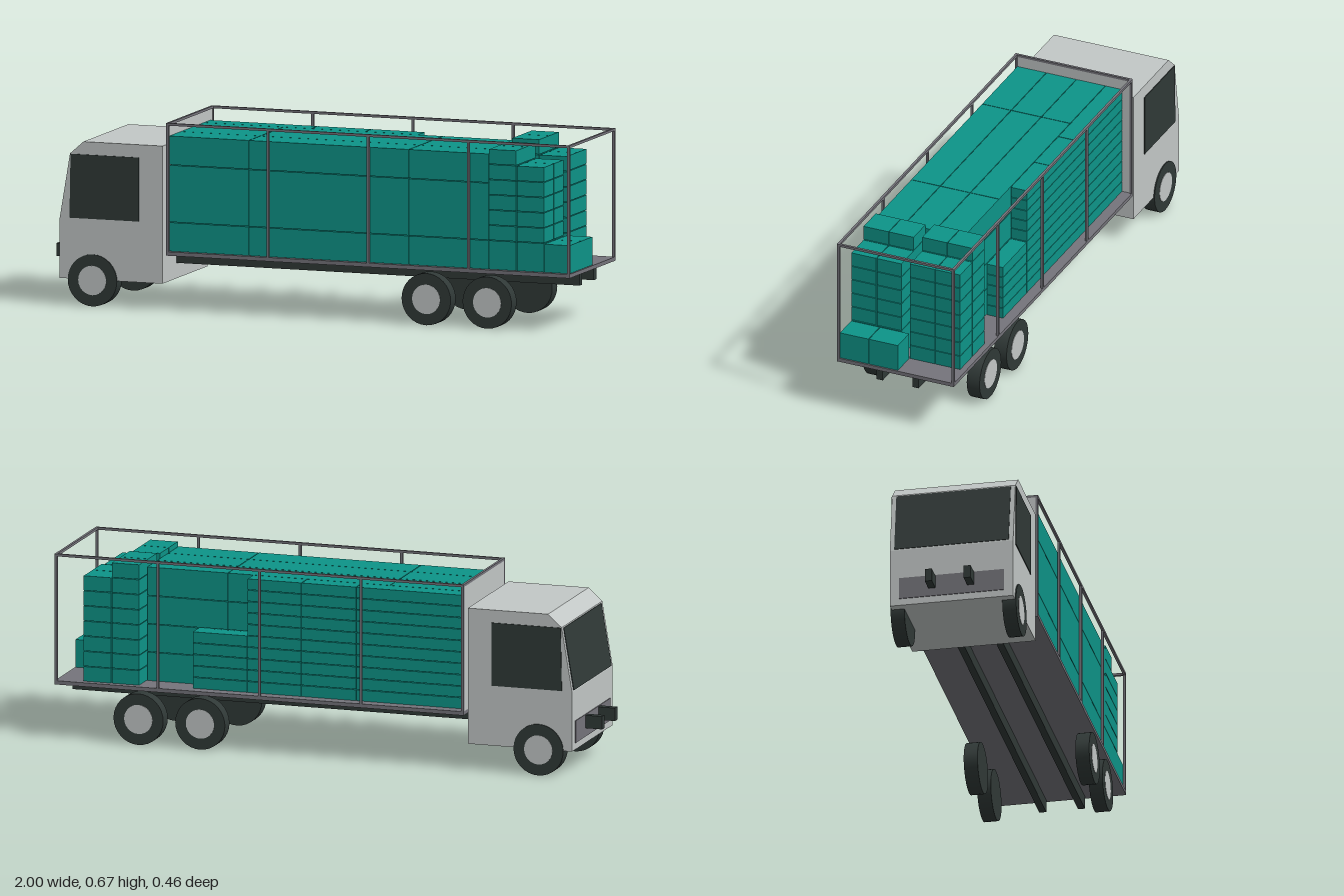
import * as THREE from 'three';

const material = (name, color, side = THREE.FrontSide) => {
  const m = new THREE.MeshStandardMaterial({ color, side });
  m.name = name;
  return m;
};

export function createModel() {
  const truck = new THREE.Group();
  truck.name = 'cargoTruck';
  const paint = material('light grey paint', 0xc2c7c6);
  const dark = material('dark rubber and glass', 0x303937);
  const steel = material('frame grey', 0x75747b);
  const teal = material('teal cargo', 0x0d9488);

  // Box given by its lower and upper limits on each axis
  const box = (name, mat, [x0, x1], [y0, y1], [z0, z1], parent = truck) => {
    const mesh = new THREE.Mesh(new THREE.BoxGeometry(x1 - x0, y1 - y0, z1 - z0), mat);
    mesh.position.set((x0 + x1) / 2, (y0 + y1) / 2, (z0 + z1) / 2);
    mesh.name = name;
    parent.add(mesh);
    return mesh;
  };

  // Prism extruded across the truck from a side profile
  const prism = (name, mat, points, z0, z1) => {
    const shape = new THREE.Shape(points.map(p => new THREE.Vector2(...p)));
    const geo = new THREE.ExtrudeGeometry(shape, { depth: z1 - z0, bevelEnabled: false });
    geo.translate(0, 0, z0);
    const mesh = new THREE.Mesh(geo, mat);
    mesh.name = name;
    truck.add(mesh);
  };

  // Cab with raked windscreen and chamfered roof edge
  prism('cab', paint, [[-0.545, 0.095], [-0.545, 0.588], [-0.845, 0.588],
    [-0.896, 0.543], [-0.935, 0.31], [-0.935, 0.095]], -0.223, 0.223);
  prism('windscreen', dark, [[-0.93, 0.315], [-0.893, 0.538], [-0.899, 0.539], [-0.937, 0.315]], -0.207, 0.207);
  box('grille', steel, [-0.938, -0.934], [0.12, 0.2], [-0.19, 0.19]);
  for (const s of [1, -1]) {
    prism('sideWindow', dark, [[-0.635, 0.313], [-0.635, 0.542], [-0.893, 0.542], [-0.897, 0.313]],
      s * 0.224 - 0.002, s * 0.224 + 0.002);
    // Chassis rails
    box('chassisRail', dark, [-1, 0.983], [0.15, 0.197], [s * 0.07 - 0.0125, s * 0.07 + 0.0125]);
  }

  // Wheels with light hubs facing outwards
  const tyreGeo = new THREE.CylinderGeometry(0.093, 0.093, 0.05, 32).rotateX(Math.PI / 2);
  const hubGeo = new THREE.CylinderGeometry(0.053, 0.053, 0.004, 24).rotateX(Math.PI / 2);
  for (const x of [-0.81, 0.456, 0.687]) for (const s of [1, -1]) {
    const wheel = new THREE.Group();
    wheel.name = 'wheel';
    const tyre = new THREE.Mesh(tyreGeo, dark);
    tyre.name = 'tyre';
    const hub = new THREE.Mesh(hubGeo, paint);
    hub.name = 'hub';
    hub.position.z = s * 0.0245;
    wheel.add(tyre, hub);
    wheel.position.set(x, 0.093, s * 0.202);
    truck.add(wheel);
  }

  // Load bed, headboard and cage
  const T = 0.009, TOP = 0.672;
  box('bedFloor', steel, [-0.53, 1], [0.197, 0.211], [-0.227, 0.228]);
  box('headboard', paint, [-0.53, -0.523], [0.211, TOP - T], [-0.218, 0.219]);
  for (const z of [-0.227, 0.228 - T]) {
    box('topRail', steel, [-0.53, 1], [TOP - T, TOP], [z, z + T]);
    for (let i = 0; i < 5; i++) {
      const x = -0.53 + i * (1.53 - T) / 4;
      box('cagePost', steel, [x, x + T], [0.211, TOP - T], [z, z + T]);
    }
  }
  for (const x of [-0.53, 1 - T]) {
    box('topCrossbar', steel, [x, x + T], [TOP - T, TOP], [-0.227 + T, 0.228 - T]);
  }

  // Cargo: every block is a grid of cartons between the given cuts
  const G = 0.0012;
  const cargo = (name, xs, ys, zs) => {
    const group = new THREE.Group();
    group.name = name;
    for (let i = 1; i < xs.length; i++)
      for (let j = 1; j < ys.length; j++)
        for (let k = 1; k < zs.length; k++)
          box('carton', teal, [xs[i - 1] + G, xs[i] - G], [ys[j - 1] + G, ys[j] - G],
            [zs[k - 1] + G, zs[k] - G], group);
    truck.add(group);
  };
  const steps = (start, size, count) => Array.from({ length: count + 1 }, (_, i) => start + i * size);
  const F = 0.211;

  // Long rows behind the headboard
  const rowX = [-0.522, -0.22, 0.387, 0.69];
  cargo('outerRow', rowX, [F, 0.316, 0.521, 0.626], [0.105, 0.219]);
  cargo('middleRows', rowX, [F, 0.316, 0.418, 0.521, 0.626], [-0.125, -0.012, 0.105]);

  // Thin cartons along the right edge, lower at the end
  cargo('thinCartons', [-0.522, -0.115, 0.09, 0.292], steps(F, 0.0415, 10), [-0.19, -0.125]);
  cargo('lowThinCartons', [0.292, 0.497], steps(F, 0.0415, 5), [-0.19, -0.125]);

  // Small carton stacks towards the tail
  const rightZ = [-0.207, -0.108, -0.009], leftZ = [0.022, 0.12, 0.219];
  cargo('rightTallStack', [0.69, 0.795], steps(F, 0.055, 8), rightZ);
  cargo('rightShortStack', [0.795, 0.9], steps(F, 0.055, 7), rightZ);
  cargo('leftTallStack', [0.69, 0.795], [F, ...steps(0.316, 0.0545, 6)], leftZ);
  cargo('leftShortStack', [0.795, 0.9], [F, ...steps(0.316, 0.0545, 5)], leftZ);
  cargo('tailCartons', [0.9, 0.998], [F, 0.314], [-0.009, 0.106, 0.219]);

  return truck;
}
